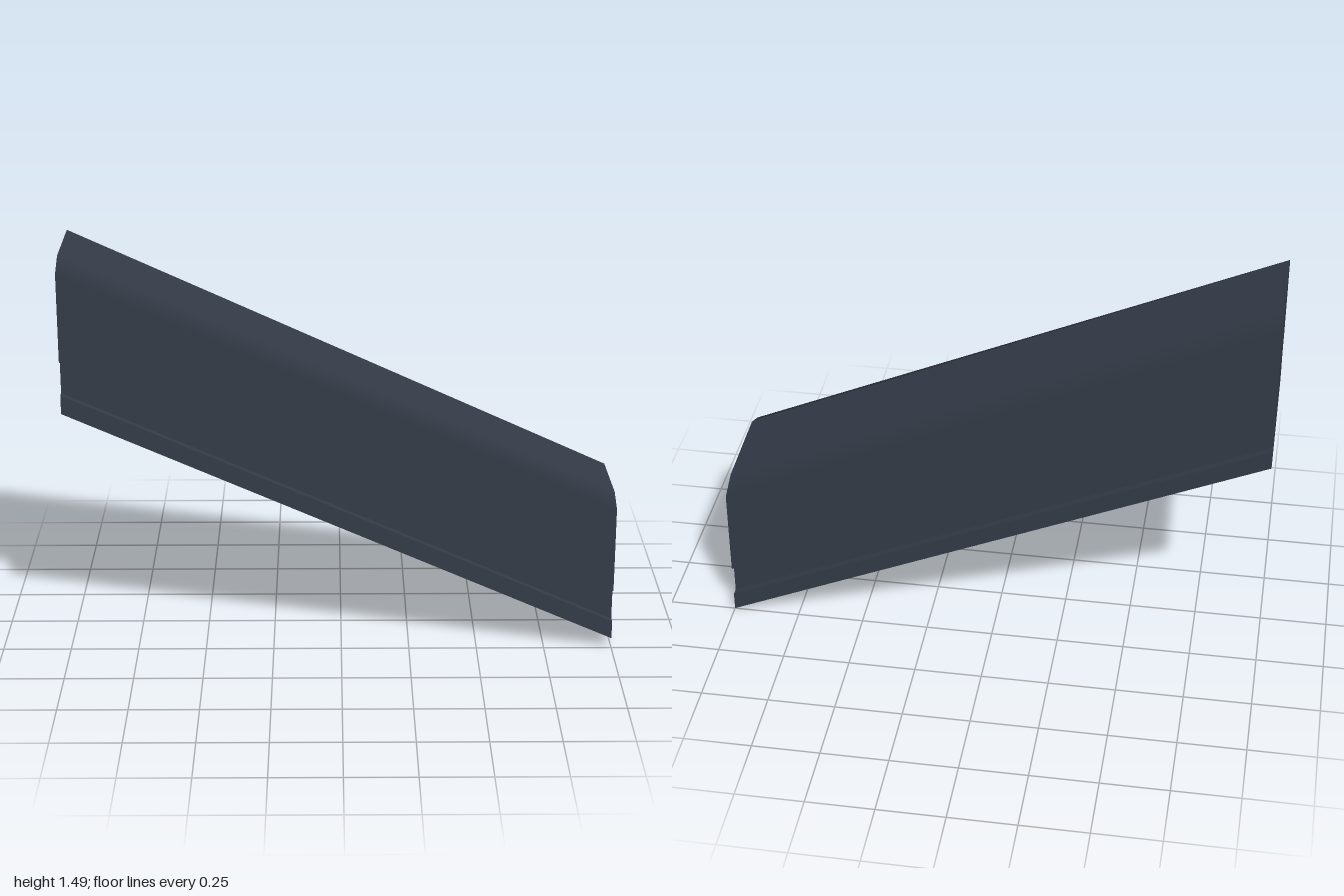
import * as THREE from 'three';

// Cross-section, counter-clockwise from the lower front: [z, y at right end (+x), y at left end (-x)]
const profile = [
  [0.25, 0.041, 0.925],
  [0.25, 0.109, 0.995],
  [0.222, 0.109, 0.995],
  [0.222, 0.231, 1.118],
  [0.25, 0.231, 1.118],
  [0.25, 0.554, 1.442],
  [0.167, 0.59, 1.487],
  [-0.165, 0.576, 1.493],
  [-0.25, 0.533, 1.447],
  [-0.25, 0.194, 1.076],
  [-0.222, 0.194, 1.076],
  [-0.222, 0.073, 0.953],
  [-0.25, 0.073, 0.953],
  [-0.25, 0.003, 0.882],
];
const count = profile.length;
const highEnd = profile.map(([z, , y]) => new THREE.Vector3(-1, y, z));
const lowEnd = profile.map(([z, y]) => new THREE.Vector3(1, y, z));

// Outward normal of the strip that starts at profile point i
function stripNormal(i) {
  const j = (i + 1) % count;
  const along = lowEnd[i].clone().sub(highEnd[i]);
  const across = highEnd[j].clone().add(lowEnd[j]).sub(highEnd[i]).sub(lowEnd[i]);
  return along.cross(across).normalize();
}

function buildGeometry(corners, normals) {
  const geometry = new THREE.BufferGeometry().setFromPoints(corners);
  if (normals) {
    geometry.setAttribute('normal', new THREE.Float32BufferAttribute(normals.flatMap((n) => n.toArray()), 3));
  } else {
    geometry.computeVertexNormals();
  }
  return geometry;
}

// Long strips between the two ends; rounded strips blend into their neighbours
function strips(indices, rounded = false) {
  const corners = [];
  const normals = [];
  for (const i of indices) {
    const j = (i + 1) % count;
    const a = stripNormal(rounded ? i - 1 : i);
    const b = stripNormal(rounded ? j : i);
    corners.push(highEnd[i], lowEnd[i], lowEnd[j], highEnd[i], lowEnd[j], highEnd[j]);
    normals.push(a, a, b, a, b, b);
  }
  return buildGeometry(corners, normals);
}

// Flat end face
function endFace(points, flip) {
  const outline = points.map((p) => new THREE.Vector2(p.z, p.y));
  const faces = THREE.ShapeUtils.triangulateShape(outline, []);
  return buildGeometry(faces.flatMap(([a, b, c]) => (flip ? [c, b, a] : [a, b, c]).map((i) => points[i])));
}

export function createModel() {
  const model = new THREE.Group();
  model.name = 'slopedRail';
  const slate = new THREE.MeshStandardMaterial({ color: 0x343b47 });
  slate.name = 'darkSlate';

  const add = (name, geometry) => {
    const mesh = new THREE.Mesh(geometry, slate);
    mesh.name = name;
    model.add(mesh);
  };

  add('frontSide', strips([0, 4]));
  add('frontGroove', strips([1, 2, 3]));
  add('topFace', strips([6]));
  add('topBevels', strips([5, 7], true));
  add('backSide', strips([8, 12]));
  add('backGroove', strips([9, 10, 11]));
  add('underside', strips([13]));
  add('highEndFace', endFace(highEnd, false));
  add('lowEndFace', endFace(lowEnd, true));
  return model;
}
